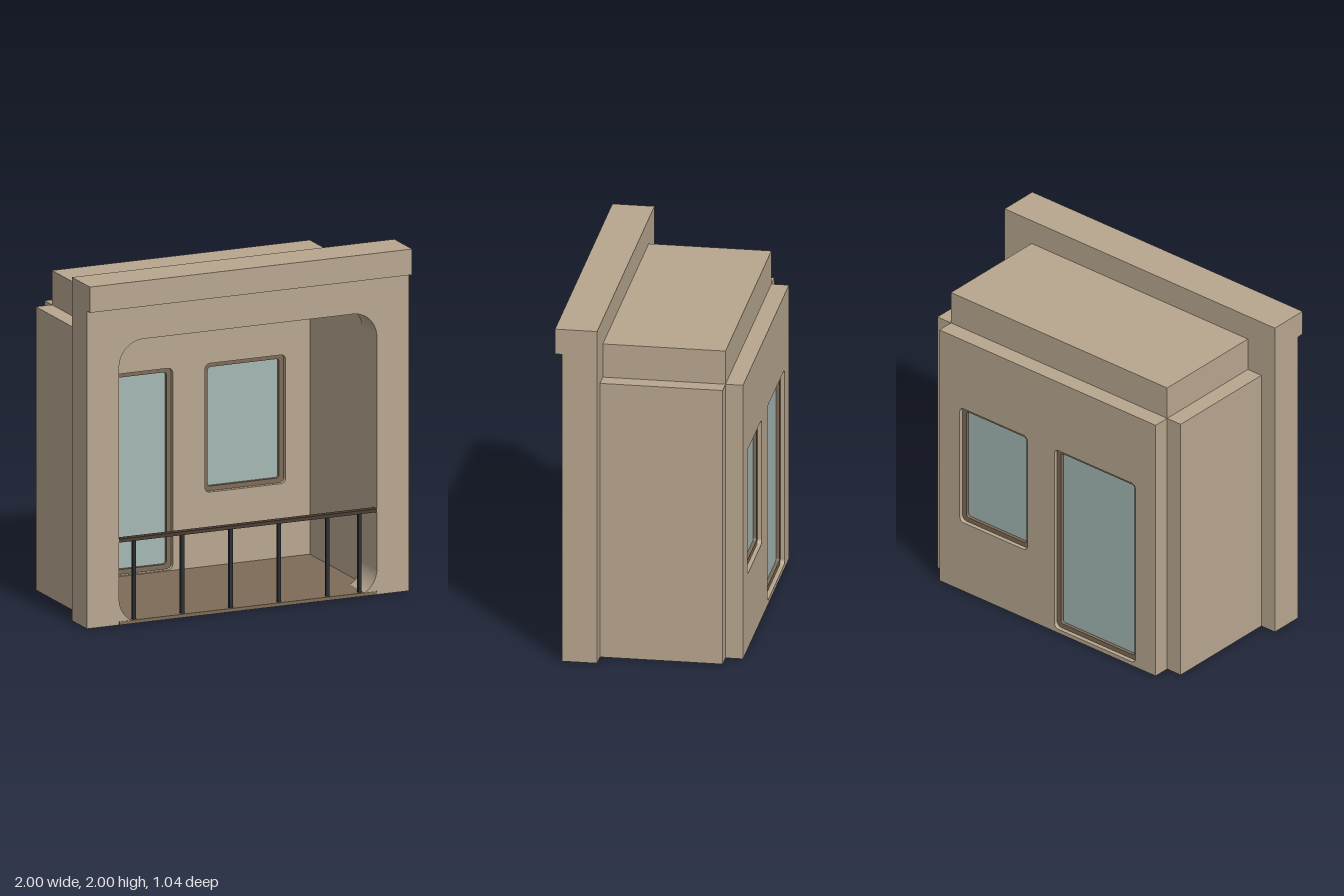
import * as THREE from 'three';

const mat = (name, color) => {
  const m = new THREE.MeshStandardMaterial({ color });
  m.name = name;
  return m;
};

// Rounded rectangle outline from opposite corners
function roundRect(P, x0, y0, x1, y1, r) {
  const p = new P();
  p.moveTo(x0 + r, y0);
  p.lineTo(x1 - r, y0);
  p.absarc(x1 - r, y0 + r, r, -Math.PI / 2, 0);
  p.lineTo(x1, y1 - r);
  p.absarc(x1 - r, y1 - r, r, 0, Math.PI / 2);
  p.lineTo(x0 + r, y1);
  p.absarc(x0 + r, y1 - r, r, Math.PI / 2, Math.PI);
  p.lineTo(x0, y0 + r);
  p.absarc(x0 + r, y0 + r, r, Math.PI, Math.PI * 1.5);
  return p;
}

export function createModel() {
  const plaster = mat('plaster', 0xb8a78f);
  const trim = mat('brown trim', 0x7d6b57);
  const glass = mat('pale glass', 0xa3b7b4);
  const railBrown = mat('dark rail', 0x4a3c32);
  const iron = mat('dark iron', 0x2a2d33);
  const model = new THREE.Group();
  model.name = 'balcony';

  const add = (name, geometry, material) => {
    const mesh = new THREE.Mesh(geometry, material);
    mesh.name = name;
    model.add(mesh);
    return mesh;
  };
  // Box given by its minimum and maximum corners
  const box = (name, material, x0, y0, z0, x1, y1, z1) =>
    add(name, new THREE.BoxGeometry(x1 - x0, y1 - y0, z1 - z0), material)
      .position.set((x0 + x1) / 2, (y0 + y1) / 2, (z0 + z1) / 2);
  // Shape extruded from z0 to z1
  const slab = (name, material, shape, z0, z1) =>
    add(name, new THREE.ExtrudeGeometry(shape, { depth: z1 - z0, bevelEnabled: false, curveSegments: 10 }), material)
      .position.z = z0;

  // Front wall, with a round-cornered opening down to the floor
  const front = new THREE.Shape();
  front.moveTo(-0.65, 0);
  front.lineTo(-1, 0);
  front.lineTo(-1, 1.85);
  front.lineTo(1, 1.85);
  front.lineTo(1, 0);
  front.lineTo(0.65, 0);
  front.absarc(0.65, 0.15, 0.15, -Math.PI / 2, 0);
  front.lineTo(0.8, 1.5);
  front.absarc(0.65, 1.5, 0.15, 0, Math.PI / 2);
  front.lineTo(-0.65, 1.65);
  front.absarc(-0.65, 1.5, 0.15, Math.PI / 2, Math.PI);
  front.lineTo(-0.8, 0.15);
  front.absarc(-0.65, 0.15, 0.15, Math.PI, Math.PI * 1.5);
  slab('frontWall', plaster, front, 0.28, 0.48);
  box('cornice', plaster, -1, 1.85, 0.28, 1, 2, 0.52);

  // Side walls, roof and floor
  box('leftWall', plaster, 0.8, 0, -0.42, 0.9, 1.65, 0.28);
  box('rightWall', plaster, -0.9, 0, -0.42, -0.8, 1.65, 0.28);
  box('roof', plaster, -0.8, 1.65, -0.42, 0.8, 1.85, 0.28);
  box('floor', trim, -0.8, 0, -0.42, 0.8, 0.02, 0.482);

  // Back wall with framed, recessed door and window
  const back = new THREE.Shape();
  back.moveTo(-0.8, 0);
  back.lineTo(0.8, 0);
  back.lineTo(0.8, 1.65);
  back.lineTo(-0.8, 1.65);
  const openings = [
    ['door', -0.65, 0.025, -0.05, 1.2],
    ['window', 0.15, 0.45, 0.65, 1.2],
  ];
  for (const [name, x0, y0, x1, y1] of openings) {
    back.holes.push(roundRect(THREE.Path, x0, y0, x1, y1, 0.03));
    const w = 0.028;
    const inner = [x0 + w, y0 + w, x1 - w, y1 - w, 0.018];
    const frame = roundRect(THREE.Shape, x0, y0, x1, y1, 0.03);
    frame.holes.push(roundRect(THREE.Path, ...inner));
    slab(name + 'Frame', trim, frame, -0.495, -0.445);
    slab(name + 'Glass', glass, roundRect(THREE.Shape, ...inner), -0.475, -0.465);
  }
  slab('backWall', plaster, back, -0.52, -0.42);

  // Railing
  box('handrail', railBrown, -0.8, 0.48, 0.44, 0.8, 0.5, 0.48);
  for (const x of [-0.7, -0.4, -0.1, 0.2, 0.5, 0.7]) {
    box('railingPost', iron, x - 0.01, 0.02, 0.45, x + 0.01, 0.48, 0.47);
  }
  return model;
}
